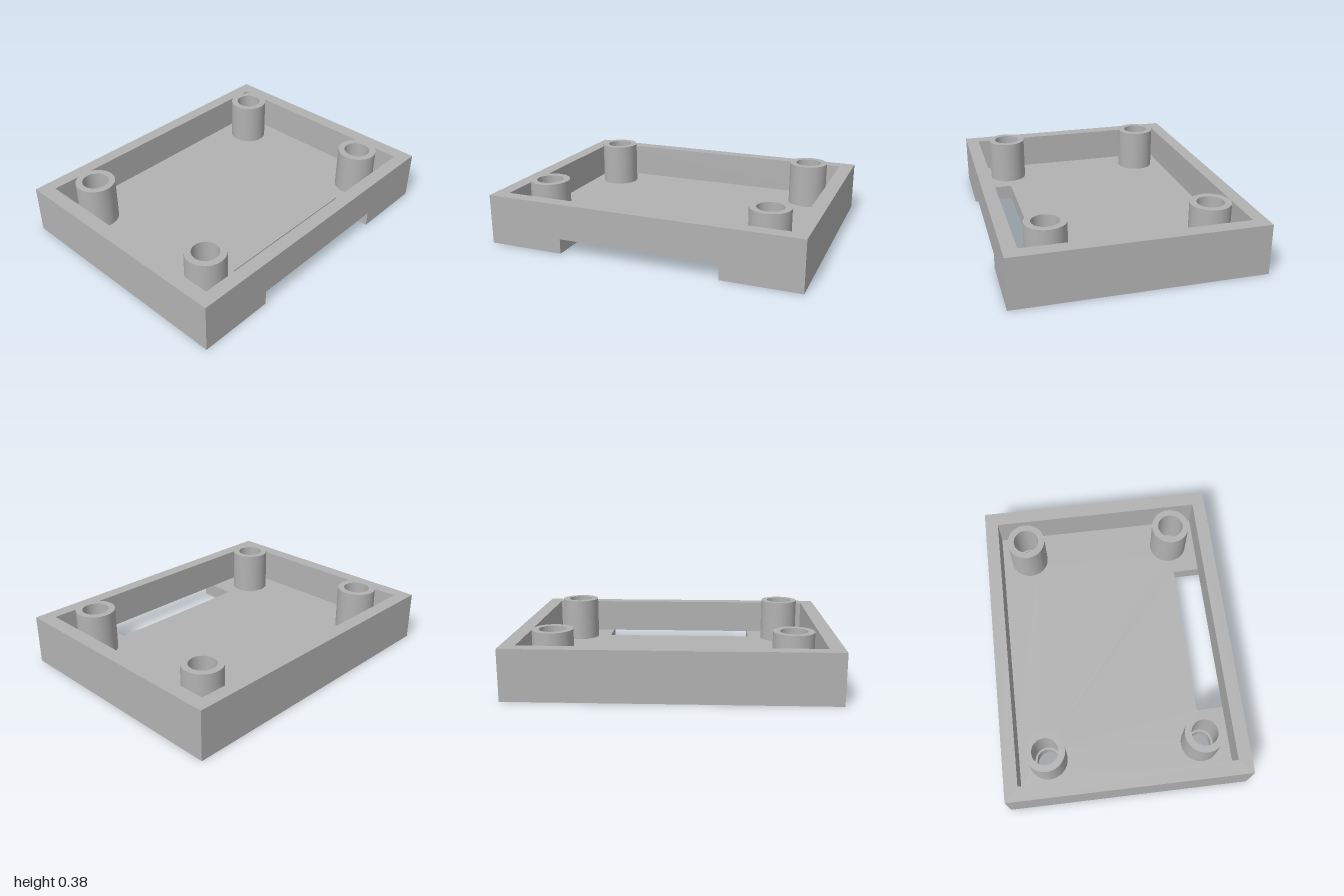
import * as THREE from 'three';

const HALF_X = 0.77, HALF_Z = 1;
const FLOOR_TOP = 0.095, WALL_TOP = 0.318, POST_TOP = 0.376;
const POST_X = 0.497, POST_Z = 0.726;

// Closed outline from [x, z] corners
const outline = (Type, pts) => new Type(pts.map(([x, z]) => new THREE.Vector2(x, z)));
const rect = (Type, hx, hz) => outline(Type, [[-hx, -hz], [hx, -hz], [hx, hz], [-hx, hz]]);
const circle = (Type, x, z, r) => new Type().absarc(x, z, r, 0, Math.PI * 2, false);

// Extrude a plan shape upward from y0 to y1
function slab(name, shape, y0, y1, material) {
  const geo = new THREE.ExtrudeGeometry(shape, { depth: y1 - y0, bevelEnabled: false, curveSegments: 48 });
  geo.rotateX(-Math.PI / 2).translate(0, y0, 0);
  const mesh = new THREE.Mesh(geo, material);
  mesh.name = name;
  return mesh;
}

export function createModel() {
  const group = new THREE.Group();
  group.name = 'enclosureTray';
  const grey = new THREE.MeshStandardMaterial({ color: 0xb2b2b2 });
  grey.name = 'grey';

  const corners = [];
  for (const sx of [-1, 1]) for (const sz of [-1, 1]) corners.push([sx * POST_X, sz * POST_Z]);

  // Floor with side notch and screw holes
  const floor = outline(THREE.Shape, [
    [-HALF_X, -HALF_Z], [HALF_X, -HALF_Z], [HALF_X, -0.511], [0.511, -0.511],
    [0.511, 0.511], [HALF_X, 0.511], [HALF_X, HALF_Z], [-HALF_X, HALF_Z],
  ]);
  for (const [x, z] of corners) floor.holes.push(circle(THREE.Path, x, z, 0.071));
  group.add(slab('floor', floor, 0, FLOOR_TOP, grey));

  // Surrounding wall, bridging over the notch
  const wall = rect(THREE.Shape, HALF_X, HALF_Z);
  wall.holes.push(rect(THREE.Path, 0.685, 0.909));
  group.add(slab('wall', wall, FLOOR_TOP, WALL_TOP, grey));

  // Hollow standoff posts
  for (const [x, z] of corners) {
    const ring = circle(THREE.Shape, x, z, 0.125);
    ring.holes.push(circle(THREE.Path, x, z, 0.083));
    group.add(slab('standoffPost', ring, FLOOR_TOP, POST_TOP, grey));
  }
  return group;
}
